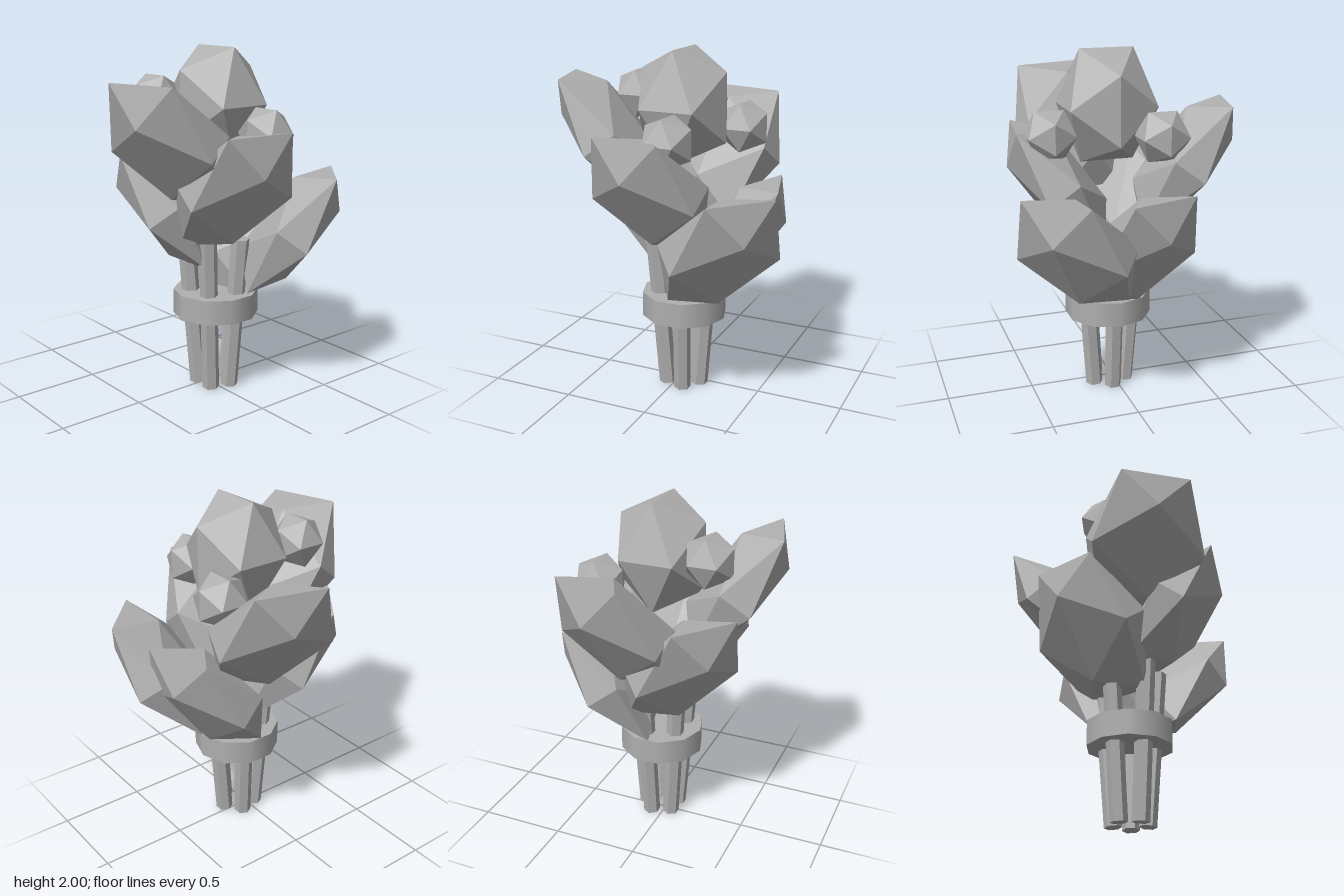
import * as THREE from 'three';

const rad = THREE.MathUtils.degToRad;

export function createModel() {
  const model = new THREE.Group();
  model.name = 'bouquet';
  const grey = new THREE.MeshStandardMaterial({ color: 0xb0b0b0 });
  grey.name = 'plain grey';

  // Faceted bud, edge-up: local x points outward, y along the bud, z sideways
  const budShape = new THREE.IcosahedronGeometry(1, 0).rotateY(Math.PI / 2);
  function bud(name, centre, size, azimuth = 0, tilt = 0) {
    const mesh = new THREE.Mesh(budShape, grey);
    mesh.name = name;
    mesh.position.set(...centre);
    mesh.scale.set(...size);
    mesh.rotation.set(0, -rad(azimuth), -rad(tilt));
    model.add(mesh);
  }

  // Central bloom
  bud('centralBloom', [0.037, 1.685, 0.037], [0.298, 0.37, 0.295]);

  // Flattened petals leaning outward: centre and azimuth in degrees
  const petals = [
    [[0.32, 0.915, -0.065], -15.6],
    [[0.37, 0.955, 0.31], 42],
    [[-0.165, 1.085, -0.175], 217.7],
    [[-0.05, 1.235, 0.305], 97],
    [[0.123, 1.36, -0.39], -75.5],
    [[-0.37, 1.505, 0.14], 163],
  ];
  petals.forEach(([centre, azimuth], i) =>
    bud(`petal${i + 1}`, centre, [0.195, 0.485, 0.385], azimuth, 36));

  // Small round buds
  const berries = [[0.1, 1.545, 0.383], [0.31, 1.545, -0.193], [-0.292, 1.715, -0.09]];
  berries.forEach((centre, i) => bud(`smallBud${i + 1}`, centre, [0.157, 0.16, 0.157]));

  // Five six-sided stems splaying upward
  const up = new THREE.Vector3(0, 1, 0);
  for (let i = 0; i < 5; i++) {
    const a = (i / 5) * Math.PI * 2;
    const ring = (r, y) => new THREE.Vector3(0.037 + r * Math.cos(a), y, 0.035 + r * Math.sin(a));
    const foot = ring(0.1, 0.005);
    const tip = ring(0.17, 0.92);
    const along = tip.clone().sub(foot);
    const geometry = new THREE.CylinderGeometry(0.053, 0.05, along.length(), 6).toNonIndexed();
    geometry.computeVertexNormals();
    const stem = new THREE.Mesh(geometry, grey);
    stem.name = `stem${i + 1}`;
    stem.position.copy(foot).add(tip).multiplyScalar(0.5);
    stem.quaternion.setFromUnitVectors(up, along.normalize());
    model.add(stem);
  }

  // Band holding the stems together
  const band = new THREE.Mesh(new THREE.CylinderGeometry(0.25, 0.25, 0.145, 10), grey);
  band.name = 'band';
  band.position.set(0.04, 0.517, 0.035);
  band.rotation.y = Math.PI / 10;
  model.add(band);

  return model;
}
